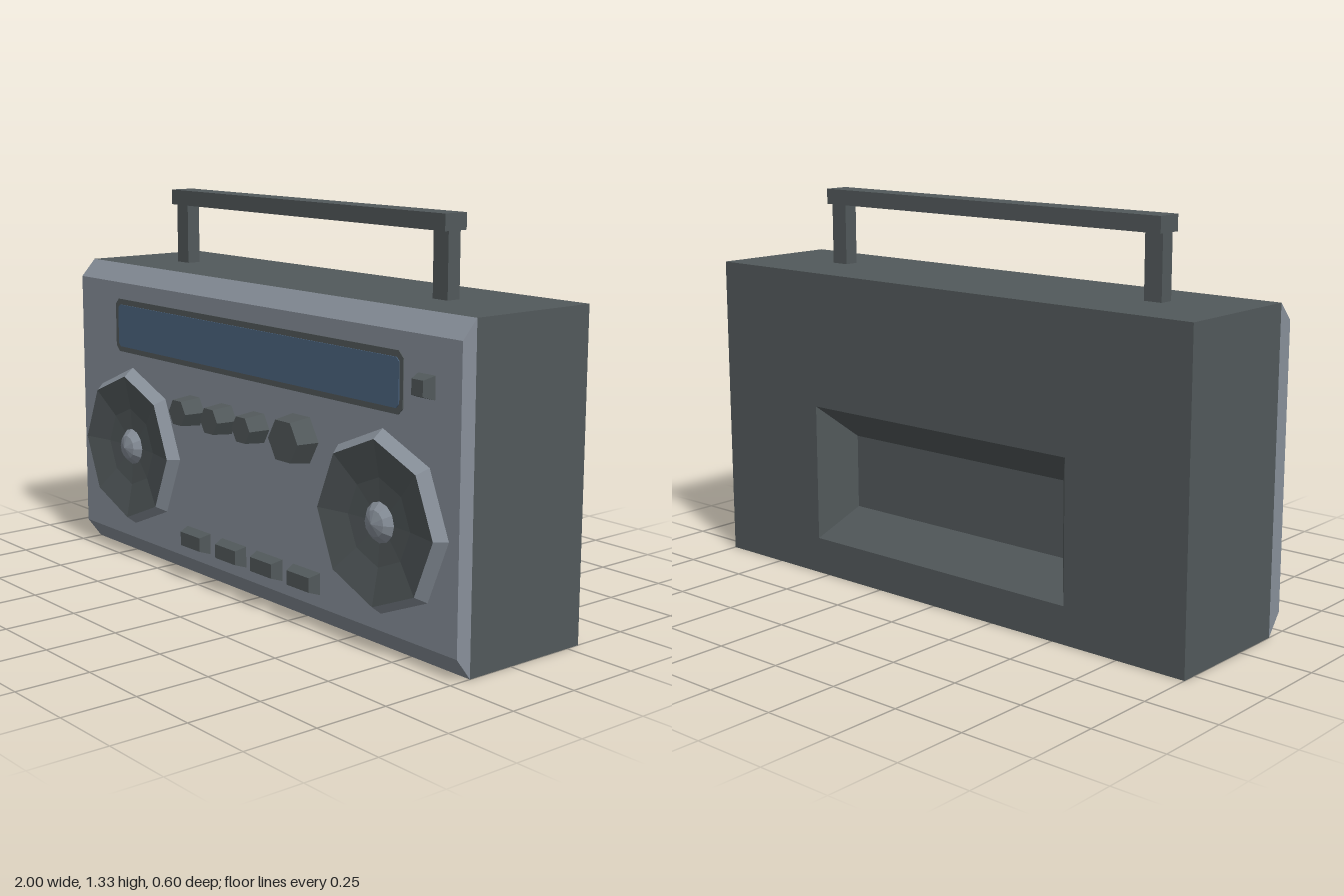
import * as THREE from 'three';

const dark = new THREE.MeshStandardMaterial({ color: 0x52595b });
dark.name = 'charcoal plastic';
const silver = new THREE.MeshStandardMaterial({ color: 0x88909a });
silver.name = 'silver grey';
const blue = new THREE.MeshStandardMaterial({ color: 0x4c6580 });
blue.name = 'tuner blue';

const FRONT = 0.225; // z of the front panel

// Faceted copy of a geometry
function faceted(geometry) {
  const g = geometry.index ? geometry.toNonIndexed() : geometry;
  g.computeVertexNormals();
  return g;
}

// Skin through rectangles [x0, x1, y0, y1, z], closed at the last one; dir is the facing along z
function loftRects(rects, dir = 1) {
  const loops = rects.map(([x0, x1, y0, y1, z]) => {
    const c = [[x0, y0, z], [x1, y0, z], [x1, y1, z], [x0, y1, z]];
    return dir > 0 ? c : c.reverse();
  });
  const pos = [];
  const quad = (a, b, c, d) => pos.push(...a, ...b, ...c, ...a, ...c, ...d);
  for (let i = 0; i < loops.length - 1; i++) {
    const p = loops[i], q = loops[i + 1];
    for (let k = 0; k < 4; k++) {
      const n = (k + 1) % 4;
      quad(p[k], p[n], q[n], q[k]);
    }
  }
  quad(...loops[loops.length - 1]);
  const g = new THREE.BufferGeometry();
  g.setAttribute('position', new THREE.Float32BufferAttribute(pos, 3));
  return faceted(g);
}

// Turned part facing +z from [radius, z] points
function turned(points, sides) {
  const g = new THREE.LatheGeometry(points.map(([r, z]) => new THREE.Vector2(r, z)), sides);
  return faceted(g.rotateX(Math.PI / 2));
}

// Thin plate with clipped corners
function plate(x0, x1, y0, y1, cut, depth) {
  const s = new THREE.Shape([
    [x0 + cut, y0], [x1 - cut, y0], [x1, y0 + cut], [x1, y1 - cut],
    [x1 - cut, y1], [x0 + cut, y1], [x0, y1 - cut], [x0, y0 + cut],
  ].map(([x, y]) => new THREE.Vector2(x, y)));
  return new THREE.ExtrudeGeometry(s, { depth, bevelEnabled: false });
}

export function createModel() {
  const model = new THREE.Group();
  model.name = 'portableStereo';
  const add = (name, geometry, material, x = 0, y = 0, z = 0, parent = model) => {
    const mesh = new THREE.Mesh(geometry, material);
    mesh.name = name;
    mesh.position.set(x, y, z);
    parent.add(mesh);
    return mesh;
  };
  const box = (name, x0, x1, y0, y1, z0, z1) =>
    add(name, new THREE.BoxGeometry(x1 - x0, y1 - y0, z1 - z0), dark,
      (x0 + x1) / 2, (y0 + y1) / 2, (z0 + z1) / 2);

  // Case with a sloping battery recess in the back
  add('case', loftRects([
    [-1, 1, 0, 1.065, 0.17],
    [-1, 1, 0, 1.065, -0.3],
    [-0.547, 0.547, 0.126, 0.6, -0.3],
    [-0.457, 0.457, 0.236, 0.49, -0.19],
  ], -1), dark);

  // Front panel, bevelled along top and bottom
  add('frontPanel', loftRects([
    [-1, 1, 0, 1.065, 0.17],
    [-1, 1, 0.072, 1.005, FRONT],
  ]), silver);

  // Carrying handle
  box('handlePostRight', -0.73, -0.665, 1.065, 1.275, -0.07, -0.02);
  box('handlePostLeft', 0.62, 0.685, 1.065, 1.275, -0.07, -0.02);
  box('handleBar', -0.735, 0.69, 1.275, 1.328, -0.09, 0);

  // Tuner window
  add('tunerFrame', plate(-0.77, 0.76, 0.755, 0.946, 0.02, 0.003), dark, 0, 0, FRONT);
  add('tunerWindow', plate(-0.75, 0.745, 0.774, 0.926, 0.012, 0.003), blue, 0, 0, FRONT + 0.003);

  // Octagonal speakers
  for (const side of [-1, 1]) {
    const speaker = new THREE.Group();
    speaker.name = side > 0 ? 'speakerLeft' : 'speakerRight';
    speaker.position.set(side * 0.671, 0.415, FRONT);
    model.add(speaker);
    add('speakerRim', turned([[0.288, 0], [0.26, 0.037]], 8), silver, 0, 0, 0, speaker);
    add('speakerCone', turned([[0.26, 0.037], [0.14, 0.014], [0, 0.005]], 8), dark, 0, 0, 0, speaker);
    add('speakerCap', turned([[0.066, 0.008], [0.042, 0.032], [0, 0.045]], 12), silver, 0, 0, 0, speaker);
  }

  // Hexagonal knobs
  for (const [x, r] of [[-0.29, 0.056], [-0.108, 0.056], [0.068, 0.056], [0.287, 0.086]]) {
    const g = new THREE.CylinderGeometry(r * 0.86, r, 0.075, 6).rotateX(Math.PI / 2).rotateZ(Math.PI / 6);
    add('knob', faceted(g), dark, x, 0.607, FRONT + 0.0375);
  }

  // Tapered push buttons and the power switch
  const button = (name, x, y, w, h) => add(name, loftRects([
    [-w, w, -h, h, 0],
    [-w + 0.012, w - 0.012, -h + 0.012, h - 0.012, 0.038],
  ]), dark, x, y, FRONT);
  for (const x of [-0.275, -0.072, 0.122, 0.315]) button('pushButton', x, 0.15, 0.068, 0.036);
  button('powerSwitch', 0.857, 0.856, 0.036, 0.036);

  return model;
}
